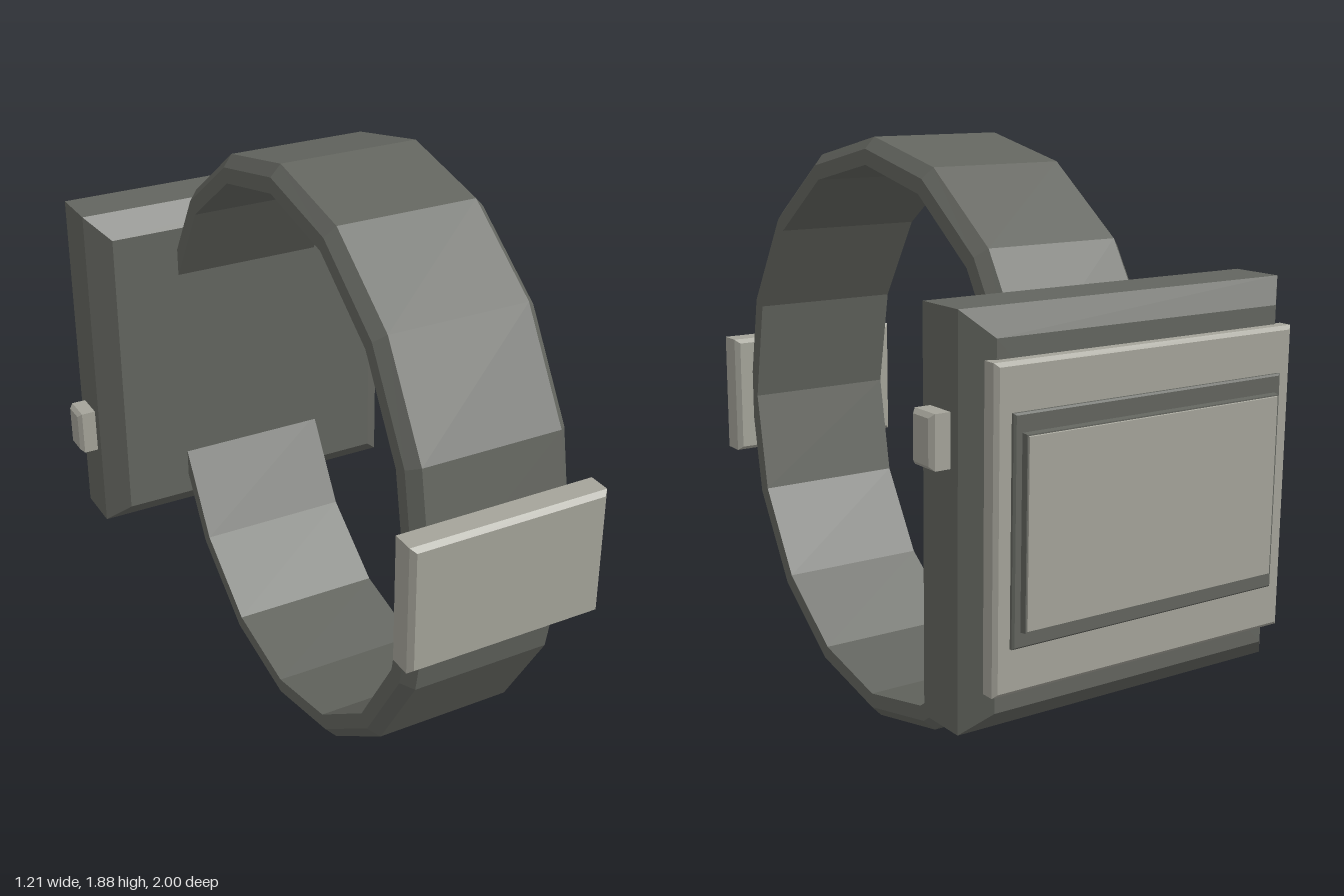
import * as THREE from 'three';

const dark = new THREE.MeshStandardMaterial({ color: 0x63655f });
dark.name = 'dark grey';
const light = new THREE.MeshStandardMaterial({ color: 0xa5a49a });
light.name = 'light grey';

// Joins cross-section loops into a closed, flat-shaded solid
function loft(loops) {
  const pos = [];
  const tri = (a, b, c) => pos.push(...a, ...b, ...c);
  const n = loops[0].length;
  for (let i = 0; i < loops.length - 1; i++) {
    for (let j = 0; j < n; j++) {
      const k = (j + 1) % n;
      const [a, b, c, d] = [loops[i][j], loops[i][k], loops[i + 1][k], loops[i + 1][j]];
      tri(a, b, c);
      tri(a, c, d);
    }
  }
  const first = loops[0], last = loops[loops.length - 1];
  for (let j = 1; j < n - 1; j++) {
    tri(first[0], first[j + 1], first[j]);
    tri(last[0], last[j], last[j + 1]);
  }
  const geo = new THREE.BufferGeometry();
  geo.setAttribute('position', new THREE.Float32BufferAttribute(pos, 3));
  geo.computeVertexNormals();
  return geo;
}

// Chamfered block from sections [z, half width, half height], z rising
function block(sections) {
  return loft(sections.map(([z, w, h]) => [[-w, -h, z], [w, -h, z], [w, h, z], [-w, h, z]]));
}

// Sixteen-sided oval strap with chamfered outer edges, open inside the case
function strapGeometry() {
  const profile = [[0, -0.22], [0, 0.22], [0.035, 0.253], [0.083, 0.253], [0.083, -0.253], [0.035, -0.253]];
  const loops = [];
  for (let k = -7; k <= 7; k++) {
    const t = (k * Math.PI) / 8;
    loops.push(profile.map(([inset, x]) => [
      x, 0.94 + (0.938 - inset) * Math.sin(t), 0.09 + (0.86 - inset) * Math.cos(t)]));
  }
  return loft(loops);
}

export function createModel() {
  const group = new THREE.Group();
  const add = (name, geo, mat, x = 0, y = 0, z = 0) => {
    const mesh = new THREE.Mesh(geo, mat);
    mesh.name = name;
    mesh.position.set(x, y, z);
    group.add(mesh);
    return mesh;
  };

  add('strap', strapGeometry(), dark);

  // Clasp on the front of the strap
  add('clasp', block([[0.9, 0.298, 0.187], [0.915, 0.313, 0.2], [0.985, 0.313, 0.2], [1, 0.298, 0.187]]),
    light, 0, 0.94);

  // Case with bevelled edges
  add('case', block([[-0.925, 0.475, 0.5], [-0.856, 0.545, 0.57], [-0.692, 0.545, 0.57], [-0.622, 0.475, 0.5]]),
    dark, 0, 0.94);

  // Stacked face: bezel, frame and screen
  add('bezel', block([[-0.965, 0.493, 0.432], [-0.955, 0.505, 0.443], [-0.915, 0.505, 0.443], [-0.905, 0.493, 0.432]]),
    light, 0, 0.943);
  add('screenFrame', block([[-0.978, 0.45, 0.308], [-0.973, 0.456, 0.313], [-0.96, 0.456, 0.313]]),
    dark, 0, 0.943);
  add('screenBase', block([[-0.997, 0.43, 0.263], [-0.97, 0.433, 0.266]]), dark, 0, 0.94);
  add('screen', block([[-1, 0.425, 0.258], [-0.996, 0.427, 0.26]]), light, 0, 0.94);

  // Side buttons, at different heights
  for (const [name, side, y] of [['leftButton', 1, 1.168], ['rightButton', -1, 0.712]]) {
    const geo = block([[0, 0.048, 0.075], [0.052, 0.048, 0.075], [0.065, 0.036, 0.063]]);
    add(name, geo, light, side * 0.54, y, -0.775).rotation.y = (side * Math.PI) / 2;
  }
  return group;
}
